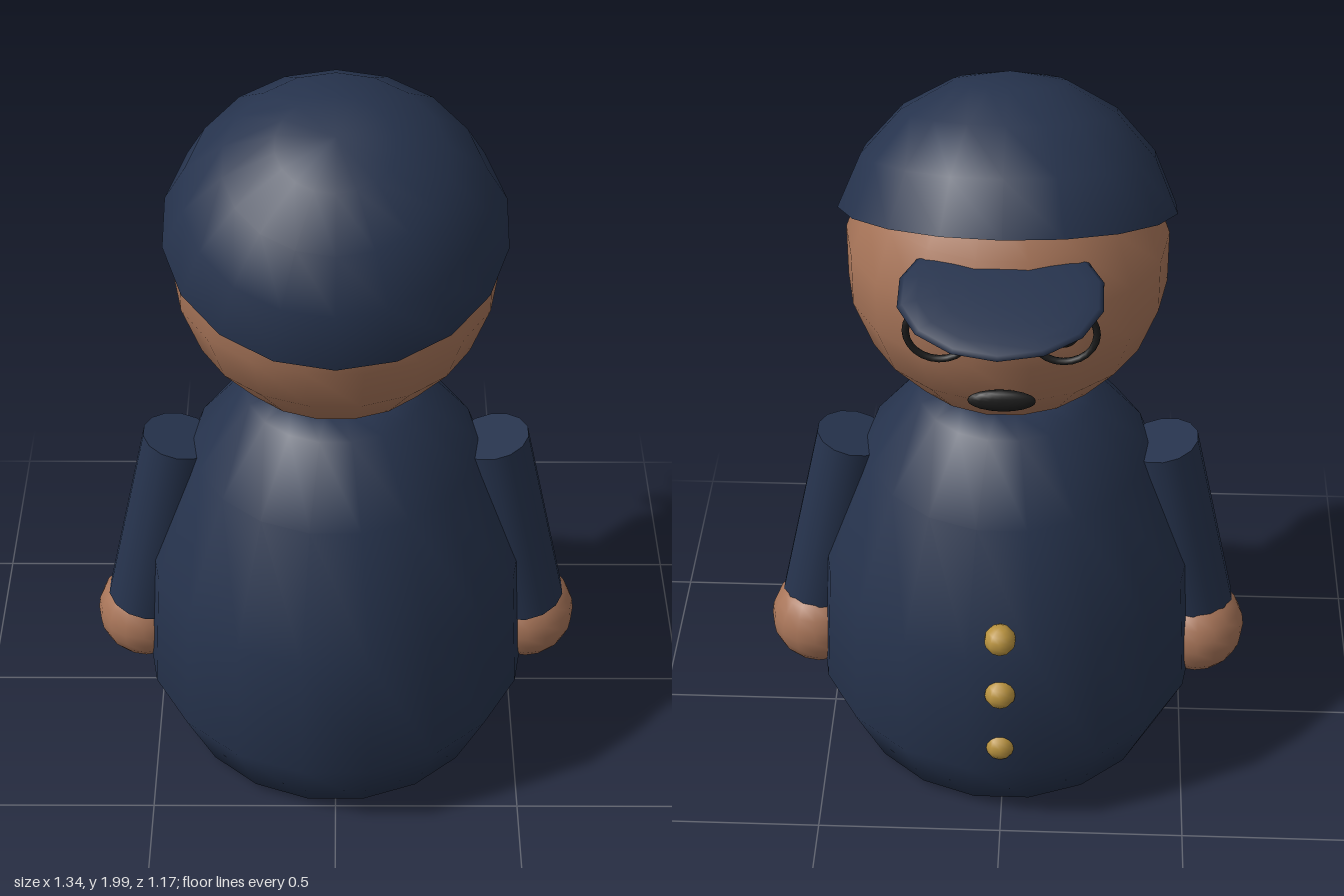
import * as THREE from 'three';

const paint = (name, color) => {
  const m = new THREE.MeshStandardMaterial({ color });
  m.name = name;
  return m;
};

export function createModel() {
  const root = new THREE.Group();
  root.name = 'capFigure';
  const navy = paint('navy cloth', 0x26334d);
  const skin = paint('skin', 0xa87559);
  const gold = paint('brass', 0xb8923f);
  const black = paint('black', 0x1c1c1c);
  const CZ = 0.05; // body axis

  const add = (name, geo, mat, x, y, z) => {
    const mesh = new THREE.Mesh(geo, mat);
    mesh.name = name;
    mesh.position.set(x, y, z);
    root.add(mesh);
    return mesh;
  };
  const ellipsoid = (rx, ry, rz, w = 18, h = 12) =>
    new THREE.SphereGeometry(1, w, h, Math.PI / 2).scale(rx, ry, rz);

  // Body: rounded coat
  const profile = [[0, 0.03], [0.44, 0.03], [0.53, 0.23], [0.508, 0.6], [0.38, 0.94], [0.238, 1.12], [0.15, 1.14], [0, 1.14]]
    .map(([r, y]) => new THREE.Vector2(r, y));
  add('coat', new THREE.LatheGeometry(profile, 18, Math.PI / 18), navy, 0, 0, CZ).scale.z = 1.03;

  // Head
  add('head', new THREE.SphereGeometry(0.415, 18, 9), skin, 0, 1.535, 0.055);

  // Cap: tilted dome, closed underneath, with a thin peak
  const capR = 0.445, capAngle = 1.327, tilt = 0.36;
  const cap = add('capDome', new THREE.SphereGeometry(capR, 18, 4, Math.PI / 2, Math.PI * 2, 0, capAngle), navy, 0, 1.555, 0.055);
  cap.rotation.x = tilt;
  const under = new THREE.Mesh(new THREE.CircleGeometry(capR * Math.sin(capAngle), 18).rotateX(Math.PI / 2), navy);
  under.name = 'capUnderside';
  under.position.y = capR * Math.cos(capAngle);
  cap.add(under);
  add('capPeak', ellipsoid(0.25, 0.024, 0.222, 14, 10), navy, 0, 1.69, -0.365).rotation.x = -0.17;

  // Paired parts
  for (const s of [1, -1]) {
    const side = s > 0 ? 'left' : 'right';
    const top = new THREE.Vector3(s * 0.417, 0.949, CZ);
    const low = new THREE.Vector3(s * 0.527, 0.387, CZ);
    const dir = top.clone().sub(low);
    const mid = top.clone().add(low).multiplyScalar(0.5);
    const sleeve = add(side + 'Sleeve', new THREE.CylinderGeometry(0.098, 0.11, dir.length(), 14), navy, mid.x, mid.y, mid.z);
    sleeve.quaternion.setFromUnitVectors(new THREE.Vector3(0, 1, 0), dir.normalize());
    add(side + 'Hand', ellipsoid(0.135, 0.135, 0.135, 16, 12), skin, s * 0.535, 0.315, 0.03);
    add(side + 'Foot', ellipsoid(0.17, 0.09, 0.23, 14, 10), navy, s * 0.2, 0.095, -0.05);
    add(side + 'Eye', ellipsoid(0.042, 0.053, 0.022), black, s * 0.15, 1.575, -0.335);
    add(side + 'SpectacleRim', new THREE.TorusGeometry(0.08, 0.009, 8, 24), black, s * 0.15, 1.577, -0.36);
  }

  // Spectacle bridge and mouth
  add('spectacleBridge', new THREE.CylinderGeometry(0.008, 0.008, 0.14, 8).rotateZ(Math.PI / 2), black, 0, 1.595, -0.386);
  add('mouth', ellipsoid(0.085, 0.03, 0.02), black, 0, 1.355, -0.333);

  // Coat buttons
  for (const y of [0.682, 0.493, 0.305])
    add('button', ellipsoid(0.042, 0.042, 0.042, 10, 8), gold, 0, y, -0.466);

  return root;
}
